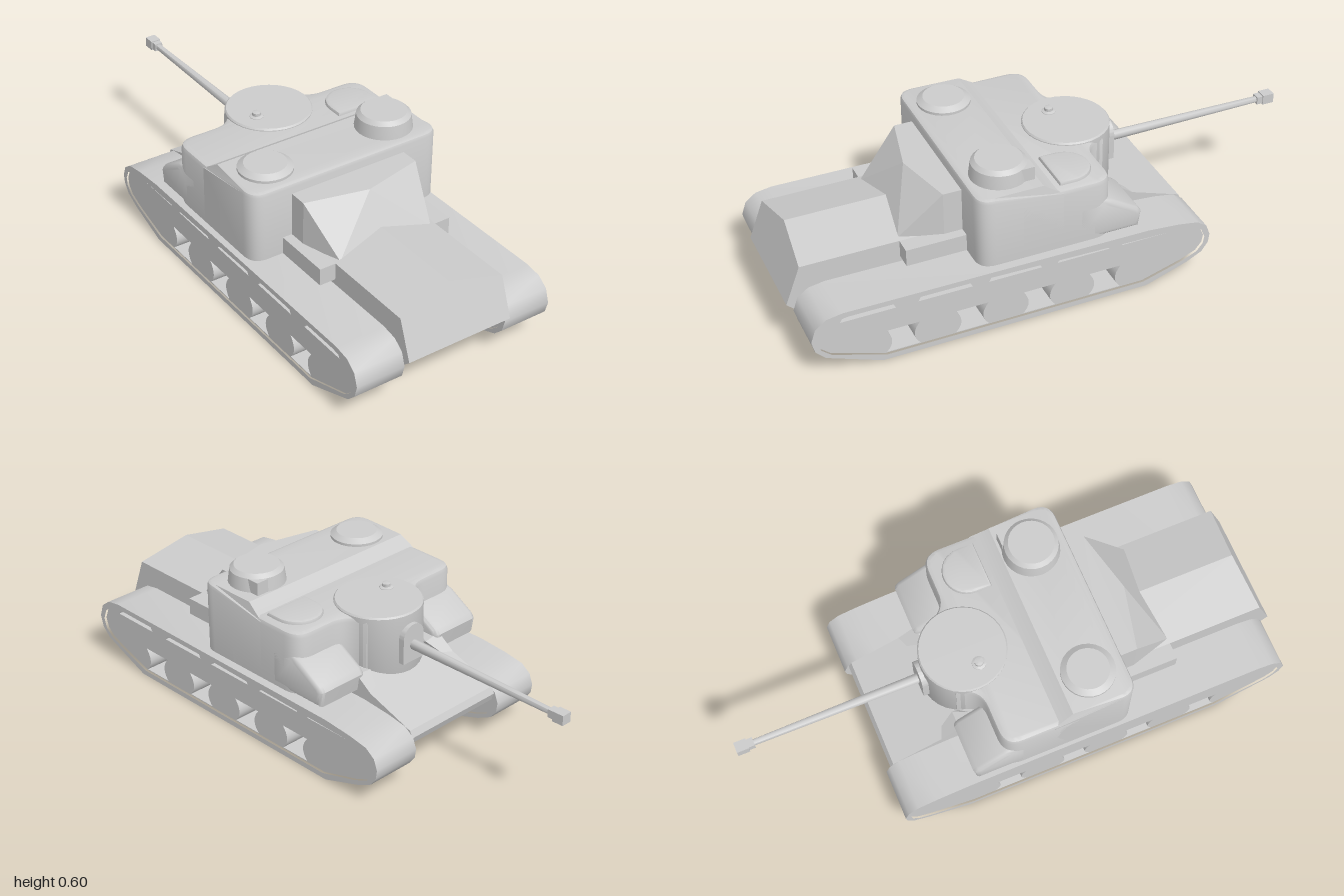
import * as THREE from 'three';
import { toCreasedNormals } from 'three/addons/utils/BufferGeometryUtils.js';
import { ConvexGeometry } from 'three/addons/geometries/ConvexGeometry.js';

const V2 = (p) => new THREE.Vector2(p[0], p[1]);

export function createModel() {
  const model = new THREE.Group();
  const mat = new THREE.MeshStandardMaterial({ color: 0xcccccc });

  const add = (name, geo, x = 0, y = 0, z = 0, crease = 0.6) => {
    const mesh = new THREE.Mesh(crease ? toCreasedNormals(geo, crease) : geo, mat);
    mesh.name = name;
    mesh.position.set(x, y, z);
    model.add(mesh);
    return mesh;
  };
  // Convex solid from points; each point is mirrored across x
  const solid = (name, pts, mirror = true) => {
    const all = [];
    for (const [x, y, z] of pts) {
      all.push(new THREE.Vector3(x, y, z));
      if (mirror && x !== 0) all.push(new THREE.Vector3(-x, y, z));
    }
    return add(name, new ConvexGeometry(all), 0, 0, 0, 0);
  };
  // Side profile (z, y) extruded across x from x0 to x1
  const sideExtrude = (shape, x0, x1, bevel = 0) => {
    const geo = new THREE.ExtrudeGeometry(shape, {
      depth: x1 - x0 - 2 * bevel, bevelEnabled: bevel > 0, bevelSize: bevel,
      bevelThickness: bevel, bevelOffset: -bevel, bevelSegments: 3, curveSegments: 8,
    });
    return geo.rotateY(-Math.PI / 2).translate(x1 - bevel, 0, 0);
  };
  // Plan outline (x, z) extruded from y0 up to y1 with a rounded top edge
  const planExtrude = (shape, y0, y1, bevel) => {
    const geo = new THREE.ExtrudeGeometry(shape, {
      depth: y1 - y0 - bevel, bevelSize: bevel, bevelThickness: bevel,
      bevelOffset: -bevel, bevelSegments: 2, curveSegments: 8,
    });
    geo.rotateX(Math.PI / 2).translate(0, y1 - bevel, 0);
    const p = geo.attributes.position;
    for (let i = 0; i < p.count; i++) p.setY(i, Math.max(p.getY(i), y0));
    return geo;
  };
  const lathe = (pts, n = 24) => new THREE.LatheGeometry(pts.map(V2), n);

  // Running gear
  const outline = [[0.73, 0], [-0.28, 0], [-0.44, 0.055], [-0.5, 0.085], [-0.525, 0.12], [-0.53, 0.155],
    [-0.515, 0.195], [-0.477, 0.222], [-0.4, 0.235], [-0.28, 0.245], [0.86, 0.25], [0.92, 0.24],
    [0.96, 0.21], [0.977, 0.16], [0.965, 0.115], [0.93, 0.08]];
  const inner = outline.map(([z, y]) => [0.22 + (z - 0.22) * 0.972, 0.125 + (y - 0.125) * 0.84]);
  const band = new THREE.Shape(outline.map(V2));
  band.holes.push(new THREE.Path(inner.map(V2)));
  const plate = new THREE.Shape(inner.map(V2));
  // Gaps between the road wheels, with sides curved by the wheel rims
  for (const z of [0.65, 0.395, 0.14, -0.115]) {
    const gap = new THREE.Path();
    gap.moveTo(z - 0.062, 0.023).lineTo(z + 0.062, 0.023);
    gap.quadraticCurveTo(z + 0.02, 0.065, z + 0.062, 0.115);
    gap.lineTo(z - 0.062, 0.115);
    gap.quadraticCurveTo(z - 0.02, 0.065, z - 0.062, 0.023);
    plate.holes.push(gap);
  }
  // Slots under the upper run
  for (const z of [0.77, 0.49, 0.23, -0.03, -0.28]) {
    plate.holes.push(new THREE.Path([[z - 0.1, 0.204], [z + 0.1, 0.204], [z + 0.09, 0.222], [z - 0.09, 0.222]].map(V2)));
  }
  for (const [side, s] of [['left', 0], ['right', -0.61]]) {
    add(side + 'Track', sideExtrude(band, 0.21 + s, 0.4 + s));
    add(side + 'WheelPlate', sideExtrude(plate, 0.217 + s, 0.39 + s));
  }

  // Hull: front section with ridged deck, then the rear with its sloping deck
  solid('frontHull', [[0.21, 0.1, 0.9], [0.21, 0.19, 1], [0.21, 0.335, 0.945], [0, 0.385, 0.926],
    [0.21, 0.1, 0.2], [0.21, 0.335, 0.2], [0, 0.385, 0.2]]);
  solid('rearHull', [[0.21, 0.1, 0.3], [0.21, 0.335, 0.3], [0.21, 0.335, -0.15], [0.21, 0.215, -0.5],
    [0.21, 0.19, -0.512], [0.21, 0.16, -0.5], [0.21, 0.1, -0.38]]);
  solid('driverCompartment', [[0.235, 0.5, 0.43], [0, 0.5, 0.485], [0.235, 0.5, 0.3],
    [0.19, 0.335, 0.585], [0.235, 0.335, 0.43], [0.235, 0.335, 0.3]]);
  for (const s of [1, -1]) {
    add('sideBlock', new THREE.BoxGeometry(0.09, 0.065, 0.25), s * 0.227, 0.3025, 0.46, 0);
    solid('deckFillet', [[0.21, 0.23, -0.38], [0.21, 0.33, -0.24], [0.21, 0.33, -0.1],
      [0.14, 0.32, -0.24], [0.14, 0.27, -0.1]].map(([x, y, z]) => [x * s, y, z]), false);
  }

  // Fighting compartment: tall front block whose top slopes down at the back
  const W = 0.393;
  const front = new THREE.Shape();
  front.moveTo(-W, 0.05).lineTo(W, 0.05).lineTo(W, 0.3);
  front.quadraticCurveTo(W, 0.362, W - 0.062, 0.362);
  front.lineTo(-W + 0.062, 0.362);
  front.quadraticCurveTo(-W, 0.362, -W, 0.3);
  const frontGeo = planExtrude(front, 0.27, 0.54, 0.014);
  const fp = frontGeo.attributes.position;
  for (let i = 0; i < fp.count; i++) {
    if (fp.getZ(i) > 0.15 || fp.getY(i) < 0.4) continue;
    const top = fp.getY(i) > 0.538;
    fp.setZ(i, top ? 0.12 : 0.05);
    if (!top) fp.setY(i, 0.495);
  }
  add('superstructureFront', frontGeo, 0, 0, 0, 0.5);

  // Lower rear block, curving in towards the gun housing
  const rear = new THREE.Shape();
  rear.moveTo(W, 0.2).lineTo(W, -0.07);
  rear.quadraticCurveTo(W, -0.14, W - 0.07, -0.14);
  rear.lineTo(0.23, -0.14).quadraticCurveTo(0.16, -0.14, 0.14, -0.22);
  rear.lineTo(-0.14, -0.22).quadraticCurveTo(-0.16, -0.14, -0.23, -0.14);
  rear.lineTo(-W + 0.07, -0.14).quadraticCurveTo(-W, -0.14, -W, -0.07);
  rear.lineTo(-W, 0.2);
  add('superstructureRear', planExtrude(rear, 0.27, 0.507, 0.018));

  // Rounded sponson covers behind the fighting compartment
  const cover = new THREE.Shape([[0, 0.27], [0, 0.42], [-0.11, 0.42], [-0.14, 0.41], [-0.24, 0.35],
    [-0.255, 0.33], [-0.245, 0.27]].map(V2));
  for (const x of [0.18, -0.393]) add('sponsonCover', sideExtrude(cover, x, x + 0.213, 0.02), 0, 0, 0, 0.8);

  // Gun housing, mantlet and barrel
  add('gunHousing', lathe([[0.15, 0.25], [0.16, 0.27], [0.16, 0.51], [0.155, 0.516], [0, 0.516]], 32), 0, 0, -0.138);
  const arch = new THREE.Shape();
  arch.moveTo(-0.05, 0.33).lineTo(0.05, 0.33).lineTo(0.05, 0.425);
  arch.absarc(0, 0.425, 0.05, 0, Math.PI, false);
  add('mantlet', new THREE.ExtrudeGeometry(arch, { depth: 0.06, bevelEnabled: false }), 0, 0, -0.312);
  const barrel = new THREE.CylinderGeometry(0.019, 0.012, 0.66, 8).rotateX(Math.PI / 2);
  add('barrel', barrel, 0, 0.395, -0.62, 0.9);
  add('muzzleCollar', new THREE.BoxGeometry(0.032, 0.03, 0.025), 0, 0.395, -0.945, 0);
  add('muzzleBrake', new THREE.BoxGeometry(0.04, 0.038, 0.045), 0, 0.395, -0.9775, 0);

  // Roof fittings
  add('cupola', lathe([[0.106, 0.53], [0.105, 0.54], [0.098, 0.59], [0.083, 0.604], [0, 0.604]], 28), 0.245, 0, 0.228);
  add('cupolaSight', new THREE.BoxGeometry(0.05, 0.06, 0.05), 0.305, 0.56, 0.155, 0);
  add('roundHatch', lathe([[0.098, 0.53], [0.098, 0.55], [0.076, 0.565], [0, 0.565]], 28), -0.255, 0, 0.23);
  const dHatch = new THREE.Shape();
  dHatch.moveTo(0.36, 0.05).lineTo(0.36, -0.01);
  dHatch.absarc(0.27, -0.01, 0.09, 0, -Math.PI, true);
  dHatch.lineTo(0.18, 0.05);
  add('rearHatch', planExtrude(dHatch, 0.49, 0.52, 0.01));
  add('periscope', lathe([[0.028, 0.49], [0.026, 0.518], [0.016, 0.522], [0.016, 0.533], [0, 0.537]], 12), -0.073, 0, -0.105);

  return model;
}
